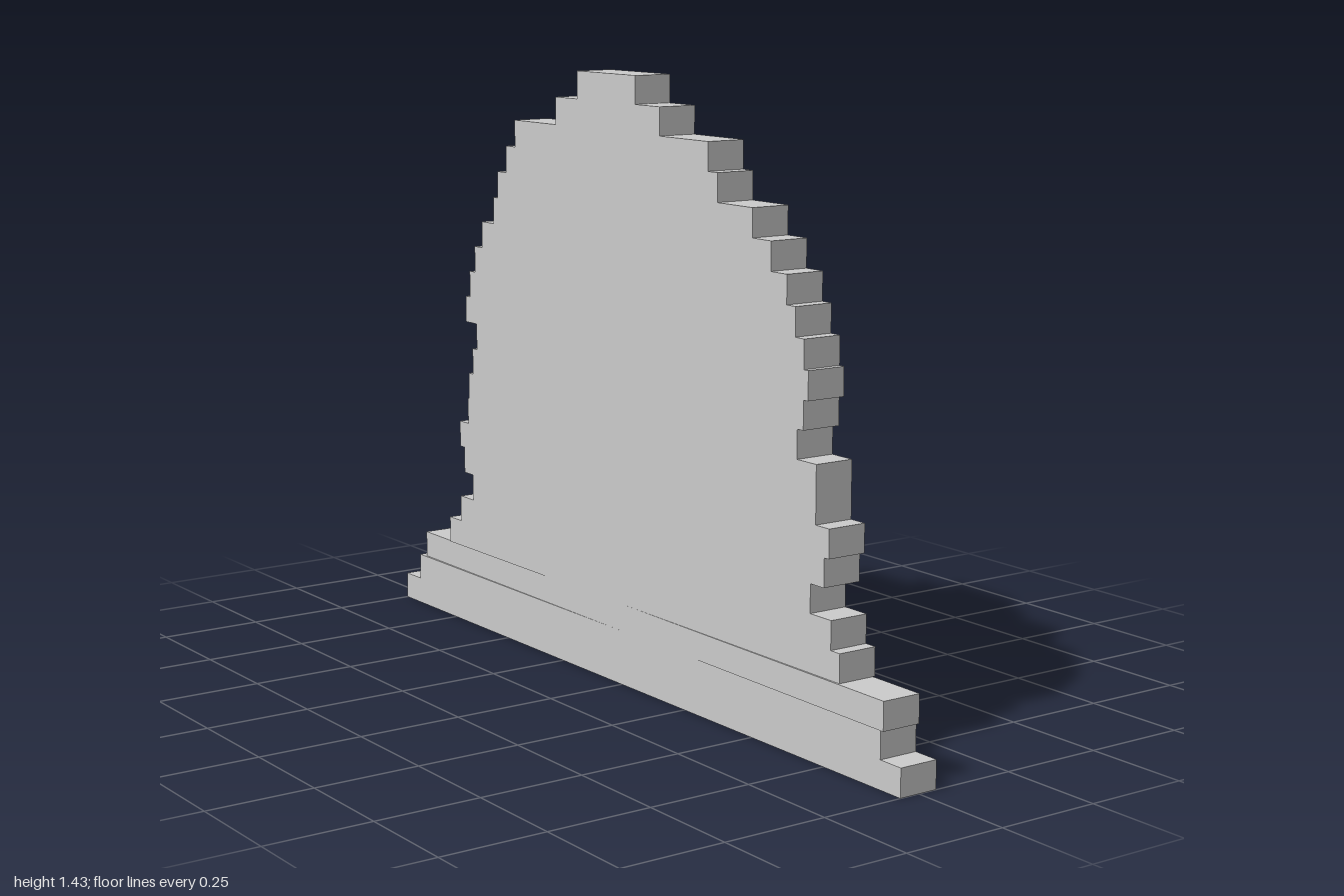
import * as THREE from 'three';

const STEP = 1.43 / 22;   // height of one course
const WIDTH = 0.097;      // slab thickness along x
const CENTER = -0.0015;

// [front z, back z] of every course, from the ground up
const COURSES = [
  [1, -1], [0.935, -0.93], [0.95, -0.905], [0.8, -0.775], [0.77, -0.72], [0.7, -0.66],
  [0.745, -0.7], [0.76, -0.72], [0.715, -0.68], [0.715, -0.675], [0.65, -0.655],
  [0.67, -0.635], [0.685, -0.685], [0.67, -0.665], [0.64, -0.64], [0.61, -0.605],
  [0.555, -0.55], [0.49, -0.53], [0.365, -0.49], [0.33, -0.45], [0.15, -0.27], [0.055, -0.18],
];

const material = new THREE.MeshStandardMaterial({ color: 0xcccccc, flatShading: true });

// One slab with a stepped outline, made from courses first..last
function steppedSlab(name, first, last) {
  const front = [], back = [];
  for (let i = first; i <= last; i++) {
    const [f, b] = COURSES[i];
    for (const y of [i * STEP, (i + 1) * STEP]) {
      front.push(new THREE.Vector2(f, y));
      back.push(new THREE.Vector2(b, y));
    }
  }
  const shape = new THREE.Shape([...front, ...back.reverse()]);
  const geometry = new THREE.ExtrudeGeometry(shape, { depth: WIDTH, bevelEnabled: false });
  geometry.translate(0, 0, -WIDTH / 2);
  geometry.rotateY(-Math.PI / 2); // outline runs along z, thickness along x
  const mesh = new THREE.Mesh(geometry, material);
  mesh.name = name;
  mesh.position.x = CENTER;
  return mesh;
}

export function createModel() {
  const group = new THREE.Group();
  group.name = 'steppedWall';

  group.add(steppedSlab('base', 0, 1));

  // This course sits very slightly twisted on the base
  const ledge = steppedSlab('twistedLedge', 2, 2);
  ledge.rotation.y = -0.0062;
  group.add(ledge);

  group.add(steppedSlab('lowerWall', 3, 11));
  group.add(steppedSlab('upperWall', 12, 21));
  return group;
}
